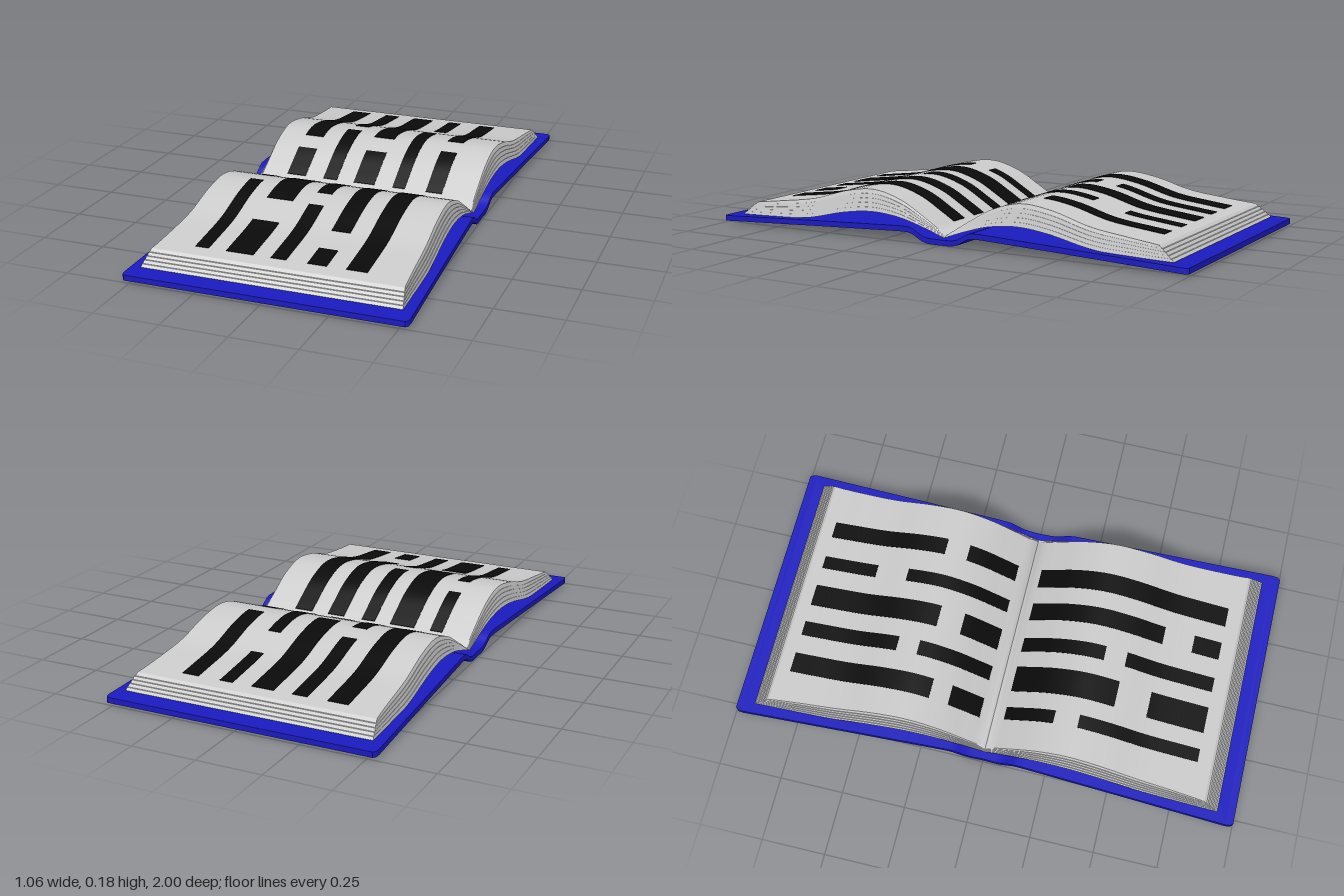
import * as THREE from 'three';
import { toCreasedNormals } from 'three/addons/utils/BufferGeometryUtils.js';

const { lerp } = THREE.MathUtils;
const blue = new THREE.MeshStandardMaterial({ color: 0x1a1abf });
const paper = new THREE.MeshStandardMaterial({ color: 0xcccccc });
const ink = new THREE.MeshStandardMaterial({ color: 0x0a0a0a });

// Solid lofted along z; each station is a ring of four [x, y, z] corners
function loft(rings) {
  const index = [];
  for (let i = 0; i < rings.length - 1; i++) {
    for (let j = 0; j < 4; j++) {
      const a = i * 4 + j, b = i * 4 + (j + 1) % 4;
      index.push(a, b, b + 4, a, b + 4, a + 4);
    }
  }
  const e = (rings.length - 1) * 4;
  index.push(0, 3, 2, 0, 2, 1, e, e + 1, e + 2, e, e + 2, e + 3);
  const geo = new THREE.BufferGeometry();
  geo.setAttribute('position', new THREE.Float32BufferAttribute(rings.flat(2), 3));
  geo.setIndex(index);
  return toCreasedNormals(geo, 0.6);
}

function addMesh(group, name, geo, material) {
  const mesh = new THREE.Mesh(geo, material);
  mesh.name = name;
  group.add(mesh);
  return mesh;
}

const curve = pts => new THREE.SplineCurve(pts.map(p => new THREE.Vector2(...p)));

// Height of a sampled [z, y] profile, symmetric about z = 0
function heightAt(samples, z) {
  const d = Math.abs(z);
  const i = Math.max(1, samples.findIndex(p => p.x >= d));
  const a = samples[i - 1], b = samples[i];
  return lerp(a.y, b.y, (d - a.x) / (b.x - a.x));
}

// Page block: curves of its top and underside as [z, y]
const pageTop = curve([[0, 0.03], [0.1, 0.092], [0.2, 0.147], [0.32, 0.178], [0.45, 0.163],
  [0.6, 0.121], [0.75, 0.1], [0.87, 0.086]]);
const pageUnder = curve([[0, 0.023], [0.1, 0.058], [0.2, 0.085], [0.32, 0.096], [0.45, 0.082],
  [0.62, 0.046], [0.78, 0.038], [0.93, 0.034]]);
const topSamples = pageTop.getPoints(160);

// Underside of the cover as [z, y]
const coverSamples = [[0, 0], [0.05, 0.001], [0.075, 0.007], [0.1, 0.022], [0.12, 0.033], [0.14, 0.038],
  [0.18, 0.038], [0.3, 0.034], [0.5, 0.027], [0.97, 0.009], [0.99, 0.008], [1, 0.008]]
  .map(p => new THREE.Vector2(...p));

// Thin strip following a profile between two z values
function strip(samples, x0, x1, z0, z1, low, high) {
  const n = Math.ceil((z1 - z0) / 0.02);
  const rings = [];
  for (let i = 0; i <= n; i++) {
    const z = lerp(z0, z1, i / n), y = heightAt(samples, z);
    rings.push([[x0, y + low, z], [x1, y + low, z], [x1, y + high, z], [x0, y + high, z]]);
  }
  return loft(rings);
}

// Cover with a rounded spine, a little narrower in the middle
function coverGeometry() {
  const half = coverSamples.map(({ x: z, y }) => {
    const w = lerp(0.495, 0.533, z) - (z === 1 ? 0.012 : z === 0.99 ? 0.003 : 0);
    return [z, y, w];
  });
  const all = [...half.slice(1).reverse().map(([z, y, w]) => [-z, y, w]), ...half];
  return loft(all.map(([z, y, w]) =>
    [[-w, y, z], [w, y, z], [w, y + 0.021, z], [-w, y + 0.021, z]]));
}

// One layer of the page block, between the fractions t0 and t1 of its thickness
function layerGeometry(t0, t1, tEdge) {
  const rings = [];
  for (let i = 0; i <= 40; i++) {
    const s = i / 40, a = pageUnder.getPoint(s), b = pageTop.getPoint(s);
    const at = (yt, zt) => ({
      z: lerp(a.x, b.x, zt),
      y: lerp(a.y, b.y, yt),
      w: lerp(lerp(0.465, 0.49, s), 0.45 + 0.026 * s ** 3, zt),
    });
    const p = at(t0, t0), q = at(t1, tEdge);
    rings.push([[-p.w, p.y, p.z], [p.w, p.y, p.z], [q.w, q.y, q.z], [-q.w, q.y, q.z]]);
  }
  return loft(rings);
}

export function createModel() {
  const model = new THREE.Group();
  model.name = 'openBook';
  addMesh(model, 'cover', coverGeometry(), blue);

  // Two page blocks of stacked layers, each layer set in slightly
  const layers = 5;
  ['frontPages', 'backPages'].forEach((name, side) => {
    const block = new THREE.Group();
    block.name = name;
    block.rotation.y = side * Math.PI;
    for (let k = 0; k < layers; k++) {
      const t0 = k / layers, t1 = (k + 1) / layers;
      addMesh(block, 'pageLayer', layerGeometry(t0, t1, k === layers - 1 ? 1 : t0 + 0.12), paper);
    }
    model.add(block);
  });

  // Dark bars on the pages: x range, then z ranges
  const bars = [
    [-0.345, -0.265, [-0.82, -0.25], [-0.175, -0.05]],
    [-0.187, -0.128, [-0.82, -0.425], [-0.34, -0.05]],
    [-0.055, 0.033, [-0.82, -0.295], [-0.2, -0.05]],
    [0.11, 0.162, [-0.82, -0.595], [-0.465, -0.05]],
    [0.25, 0.317, [-0.82, -0.34], [-0.25, -0.05]],
    [-0.33, -0.278, [0.045, 0.24], [0.335, 0.815]],
    [-0.21, -0.105, [0.045, 0.455], [0.585, 0.815]],
    [-0.038, 0.02, [0.045, 0.375], [0.46, 0.815]],
    [0.1, 0.172, [0.045, 0.585], [0.705, 0.815]],
    [0.244, 0.322, [0.045, 0.815]],
  ];
  for (const [x0, x1, ...ranges] of bars) {
    for (const [z0, z1] of ranges) {
      addMesh(model, 'textBar', strip(topSamples, x0, x1, z0, z1, -0.003, 0.002), ink);
    }
  }

  // Small label with bars under the cover
  addMesh(model, 'backLabel', strip(coverSamples, -0.31, -0.135, 0.395, 0.755, -0.002, 0.002), paper);
  for (const [x0, x1, z0, z1] of [
    [-0.215, -0.175, 0.6, 0.71], [-0.215, -0.175, 0.43, 0.57], [-0.275, -0.235, 0.43, 0.68],
  ]) {
    addMesh(model, 'labelBar', strip(coverSamples, x0, x1, z0, z1, -0.004, 0), ink);
  }
  return model;
}
